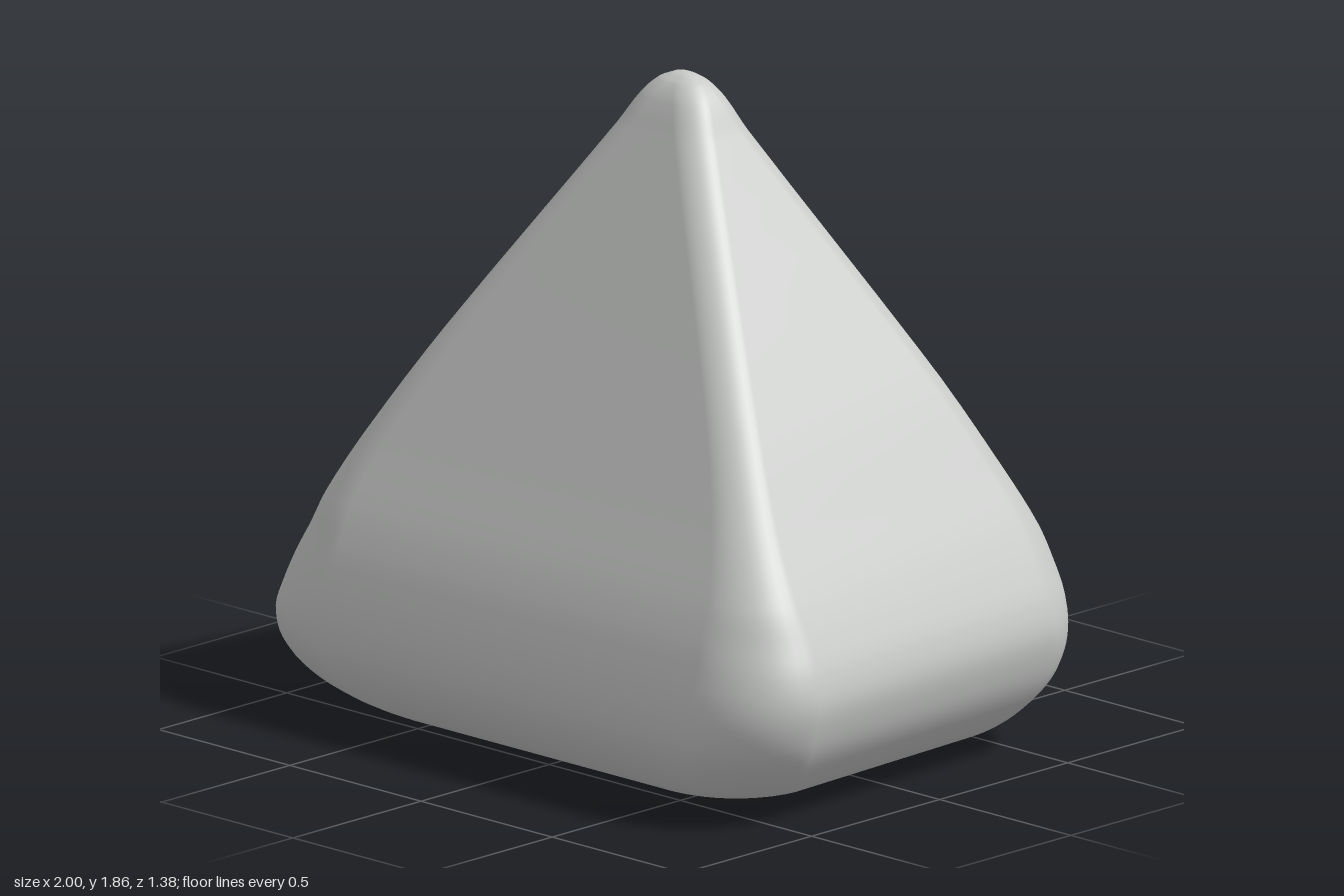
import * as THREE from 'three';

// Level: height, left x (front, back), right x, front z, back z, corner radius
const LEVELS = [
  [0, -0.67, -0.65, 0.64, 0.44, -0.44, 0.22],
  [0.02, -0.75, -0.73, 0.70, 0.50, -0.50, 0.24],
  [0.06, -0.85, -0.82, 0.81, 0.57, -0.58, 0.27],
  [0.12, -0.94, -0.90, 0.885, 0.63, -0.64, 0.28],
  [0.20, -0.99, -0.94, 0.95, 0.675, -0.675, 0.28],
  [0.28, -1.0, -0.96, 0.985, 0.69, -0.69, 0.28],
  [0.36, -0.975, -0.96, 1.0, 0.685, -0.69, 0.28],
  [0.44, -0.94, -0.945, 0.985, 0.665, -0.68, 0.26],
  [0.52, -0.90, -0.915, 0.95, 0.64, -0.665, 0.24],
  [0.62, -0.85, -0.88, 0.895, 0.60, -0.63, 0.19],
  [0.80, -0.75, -0.785, 0.775, 0.515, -0.548, 0.14],
  [1.10, -0.57, -0.59, 0.58, 0.378, -0.415, 0.11],
  [1.70, -0.18, -0.18, 0.175, 0.10, -0.147, 0.09],
  [1.79, -0.125, -0.125, 0.12, 0.058, -0.11, 0.08],
  [1.835, -0.08, -0.08, 0.075, 0.025, -0.08, 0.06],
  [1.855, -0.035, -0.035, 0.035, -0.005, -0.05, 0.026],
];
const ARC = 10; // segments in each rounded corner
const STEPS = 4; // smooth steps between levels

// Smooth interpolation of the levels over height
function levelAt(i, t) {
  const a = LEVELS[i], b = LEVELS[i + 1];
  const p = LEVELS[Math.max(i - 1, 0)], n = LEVELS[Math.min(i + 2, LEVELS.length - 1)];
  const h = b[0] - a[0], t2 = t * t, t3 = t2 * t;
  return a.map((v, k) => {
    if (k === 0) return v + h * t;
    const m0 = (b[k] - p[k]) / (b[0] - p[0]) * h;
    const m1 = (n[k] - v) / (n[0] - a[0]) * h;
    return (2 * t3 - 3 * t2 + 1) * v + (t3 - 2 * t2 + t) * m0
      + (3 * t2 - 2 * t3) * b[k] + (t3 - t2) * m1;
  });
}

// Rounded four-cornered outline at one level
function pushLoop(out, [y, leftFront, leftBack, right, front, back, r]) {
  const taper = y < 0.6 ? 0.96 : Math.min(1, 0.96 + (y - 0.6) * 0.1);
  const rz = Math.min(r * 0.8, (front - back) / 2);
  const corners = [
    [right, front, 1, 1], [leftFront, front, -1, 1],
    [leftBack, back, -1, -1], [right * taper, back, 1, -1],
  ];
  corners.forEach(([x, z, sx, sz], c) => {
    for (let i = 0; i <= ARC; i++) {
      const a = (c + i / ARC) * Math.PI / 2;
      out.push(x - sx * r + Math.cos(a) * r, y, z - sz * rz + Math.sin(a) * rz);
    }
  });
}

function pyramidGeometry() {
  const pos = [], index = [];
  for (let i = 0; i < LEVELS.length - 1; i++) {
    for (let s = 0; s < STEPS; s++) pushLoop(pos, levelAt(i, s / STEPS));
  }
  pushLoop(pos, LEVELS[LEVELS.length - 1]);

  // Skin between the loops
  const n = 4 * (ARC + 1);
  const rows = pos.length / 3 / n;
  for (let j = 0; j < rows - 1; j++) {
    for (let i = 0; i < n; i++) {
      const k = (i + 1) % n;
      const a = j * n + i, b = j * n + k, c = a + n, d = b + n;
      index.push(a, c, b, b, c, d);
    }
  }

  // Base and tip
  const base = pos.length / 3, tip = base + 1, last = (rows - 1) * n;
  pos.push(0, 0, 0, 0, 1.86, -0.028);
  for (let i = 0; i < n; i++) {
    const k = (i + 1) % n;
    index.push(base, i, k, tip, last + k, last + i);
  }

  const g = new THREE.BufferGeometry();
  g.setAttribute('position', new THREE.Float32BufferAttribute(pos, 3));
  g.setIndex(index);
  g.computeVertexNormals();
  return g;
}

export function createModel() {
  const group = new THREE.Group();
  group.name = 'roundedPyramid';
  const stone = new THREE.MeshStandardMaterial({ color: 0xc8cac8 });
  stone.name = 'light grey';
  const body = new THREE.Mesh(pyramidGeometry(), stone);
  body.name = 'pyramidBody';
  group.add(body);
  return group;
}
